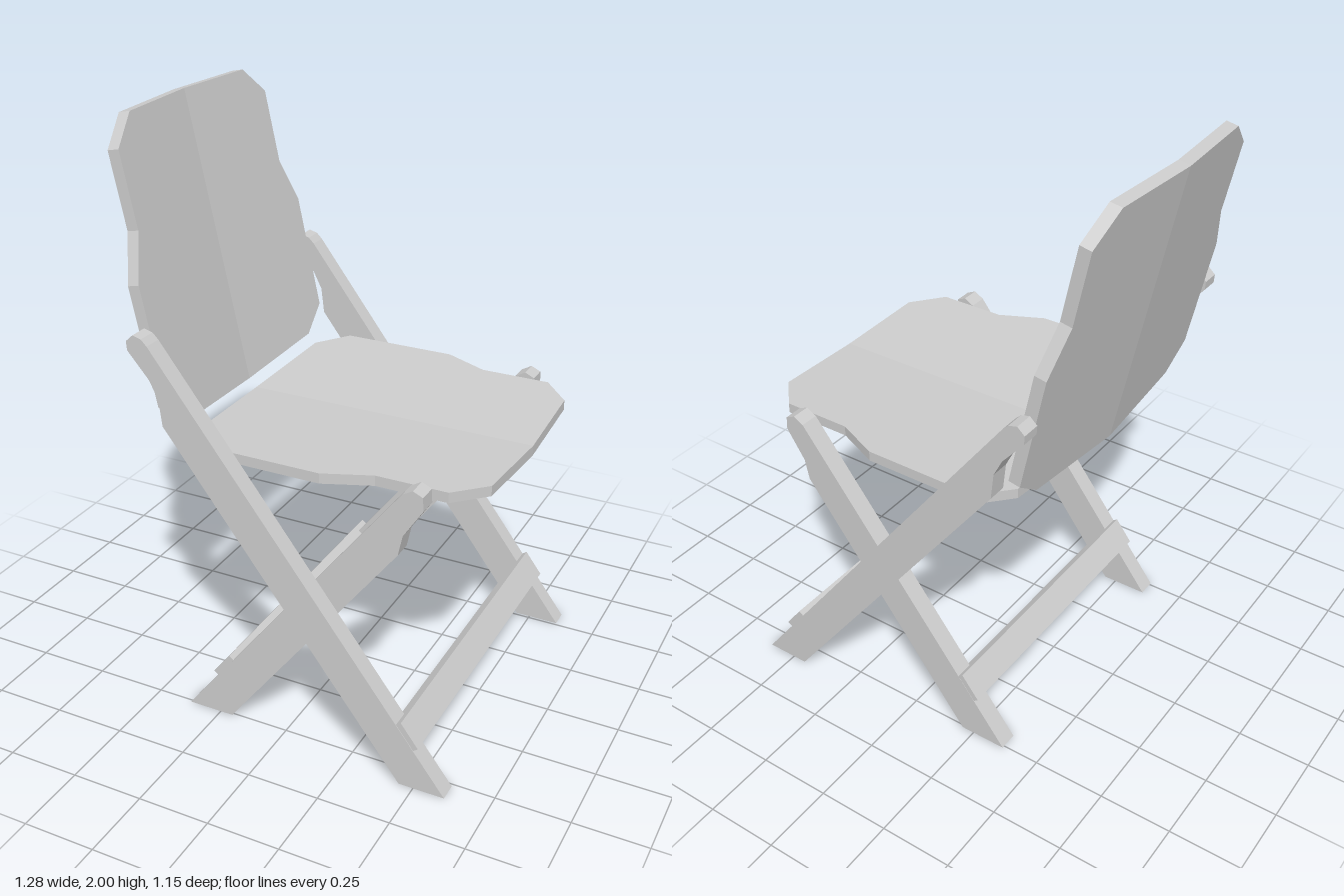
import * as THREE from 'three';

export function createModel() {
  const chair = new THREE.Group();
  chair.name = 'foldingChair';
  const grey = new THREE.MeshStandardMaterial({ color: 0xcccccc });
  grey.name = 'grey';

  const add = (name, geometry) => {
    const mesh = new THREE.Mesh(geometry, grey);
    mesh.name = name;
    chair.add(mesh);
    return mesh;
  };

  // Creased panel: a half outline (width, length) is mirrored across z = 0;
  // place(width, length, t) returns [x, y, z] on the face (t = 1) or the reverse (t = 0).
  function panel(half, place) {
    const pts = half.map(([w, l]) => new THREE.Vector2(w, l));
    const faces = THREE.ShapeUtils.triangulateShape(pts, []);
    const out = [];
    for (const side of [1, -1]) {
      const tri = (a, b, c) => {
        for (const [i, t] of side > 0 ? [a, b, c] : [a, c, b]) {
          const [x, y, z] = place(half[i][0], half[i][1], t);
          out.push(x, y, z * side);
        }
      };
      for (const [a, b, c] of faces) {
        tri([a, 1], [b, 1], [c, 1]);
        tri([a, 0], [c, 0], [b, 0]);
      }
      // rim, leaving out the centre line
      for (let i = 0; i < half.length - 1; i++) {
        tri([i, 0], [i + 1, 0], [i + 1, 1]);
        tri([i, 0], [i + 1, 1], [i, 1]);
      }
    }
    const g = new THREE.BufferGeometry();
    g.setAttribute('position', new THREE.Float32BufferAttribute(out, 3));
    g.computeVertexNormals();
    return g;
  }

  // Seat, dipping to its centre line
  add('seat', panel(
    [[0, -0.37], [0.4, -0.35], [0.508, -0.26], [0.508, 0.14], [0.44, 0.295],
      [0.44, 0.535], [0.335, 0.63], [0, 0.64]],
    (w, l, t) => [l, 0.955 + 0.035 * t + 0.05 * w, w]));

  // Backrest, leaning back and hollowed to its centre line
  add('backrest', panel(
    [[0, 1.015], [0.4, 1.038], [0.508, 1.118], [0.508, 1.51], [0.44, 1.66],
      [0.44, 1.905], [0.335, 1.995], [0, 1.996]],
    (w, l, t) => [-0.396 - 0.212 * (l - 1.015) - 0.04 * t + 0.06 * w, l + 0.004 - 0.008 * t, w]));

  // Crossed legs: flat profiles, one pair outside the other
  const longProfile = [[0.45, 0], [0.607, 0], [-0.41, 1.35], [-0.43, 1.37], [-0.46, 1.378],
    [-0.485, 1.355], [-0.483, 1.325], [-0.41, 1.24], [-0.38, 1.18], [-0.37, 1.09]];
  const shortProfile = [[-0.37, 0], [-0.205, 0], [0.405, 0.8], [0.42, 0.87], [0.485, 0.97],
    [0.483, 1.015], [0.45, 1.03], [0.415, 1.01]];
  function legPair(name, profile, inner, outer) {
    const shape = new THREE.Shape(profile.map(([x, y]) => new THREE.Vector2(x, y)));
    const depth = outer - inner;
    for (const [label, z] of [['Left', inner], ['Right', -outer]]) {
      const g = new THREE.ExtrudeGeometry(shape, { depth, bevelEnabled: false });
      add(name + label, g).position.z = z;
    }
  }
  legPair('longLeg', longProfile, 0.51, 0.574);
  legPair('shortLeg', shortProfile, 0.444, 0.509);

  // Cross slats set into the legs
  const frontSlat = add('frontSlat', new THREE.BoxGeometry(0.04, 0.1, 1.144));
  frontSlat.position.set(0.467, 0.186, 0);
  frontSlat.rotation.z = 0.64;
  const rearSlat = add('rearSlat', new THREE.BoxGeometry(0.04, 0.1, 1.016));
  rearSlat.position.set(-0.222, 0.19, 0);
  rearSlat.rotation.z = -0.66;

  return chair;
}
